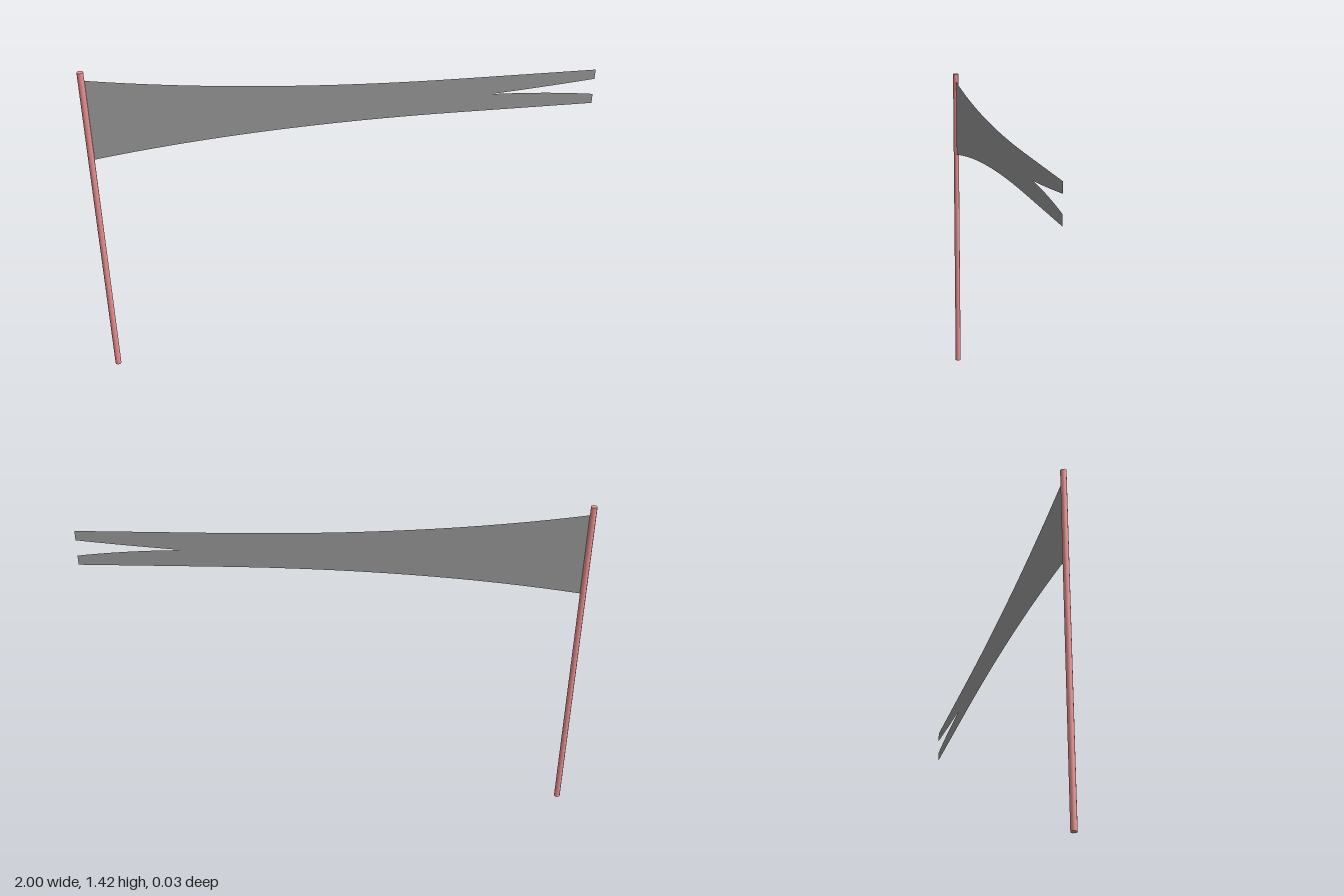
import * as THREE from 'three';

export function createModel() {
  const model = new THREE.Group();
  const poleRadius = 0.0125, poleHeight = 1.418, poleX = -1 + poleRadius;

  // Upright pole
  const pole = new THREE.Mesh(
    new THREE.CylinderGeometry(poleRadius, poleRadius, poleHeight, 8),
    new THREE.MeshStandardMaterial({ color: 0xee9494 })
  );
  pole.name = 'pole';
  pole.position.set(poleX, poleHeight / 2, 0);
  model.add(pole);

  // Thin pennant: tapering from the pole, then straight to a swallow tail
  const outline = new THREE.Shape();
  outline.moveTo(poleX, 1.034);
  outline.quadraticCurveTo(-0.35, 1.134, 0.45, 1.134);
  outline.lineTo(1, 1.134);
  outline.lineTo(1, 1.175);
  outline.quadraticCurveTo(0.8, 1.201, 0.58, 1.206); // notch
  outline.quadraticCurveTo(0.8, 1.222, 1, 1.243);
  outline.lineTo(1, 1.284);
  outline.lineTo(0.45, 1.284);
  outline.quadraticCurveTo(-0.35, 1.284, poleX, 1.383);
  outline.closePath();

  const pennant = new THREE.Mesh(
    new THREE.ShapeGeometry(outline, 16),
    new THREE.MeshStandardMaterial({ color: 0x9a9a9a, side: THREE.DoubleSide })
  );
  pennant.name = 'pennant';
  model.add(pennant);

  return model;
}
